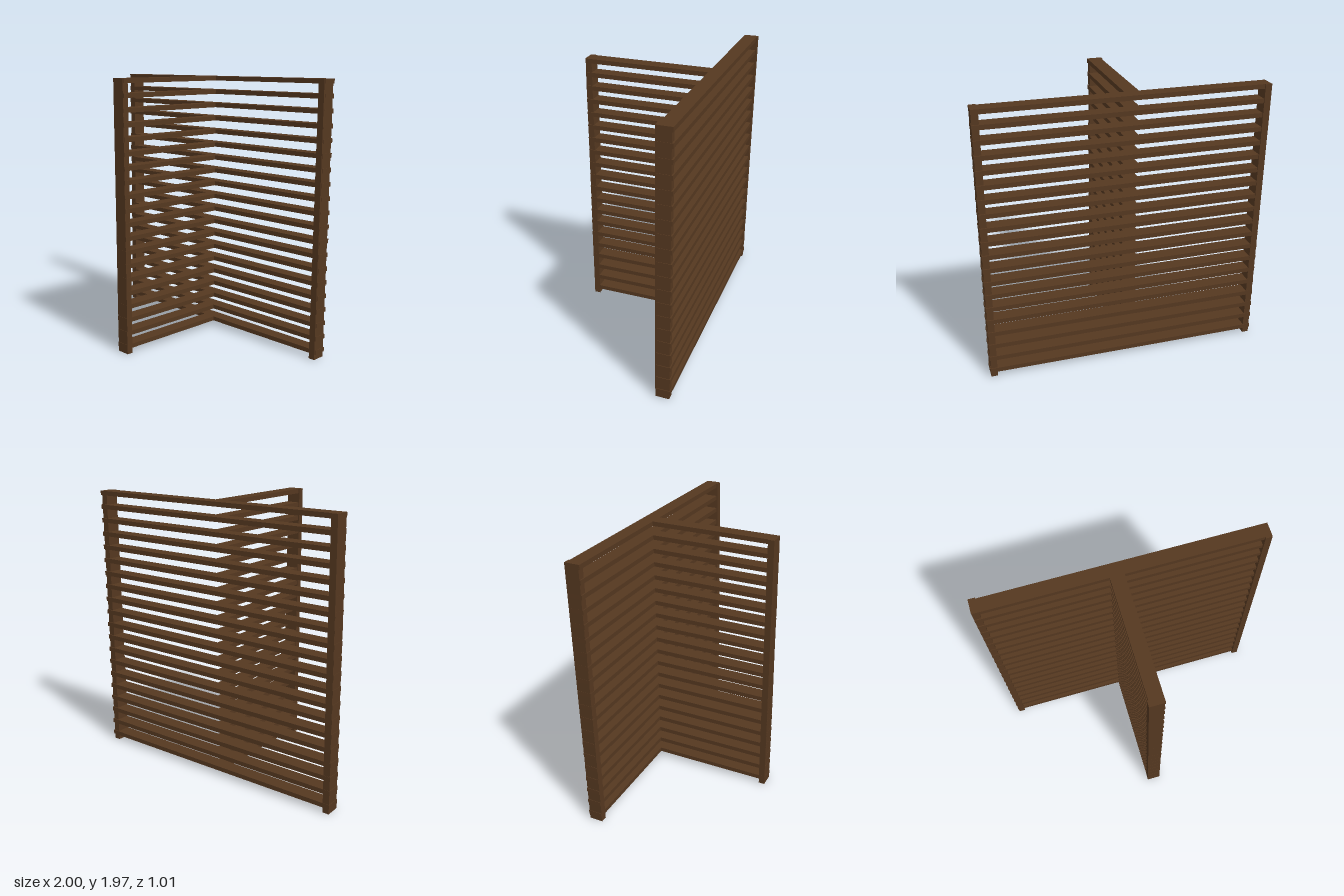
import * as THREE from 'three';

const HEIGHT = 1.97;
const wood = new THREE.MeshStandardMaterial({ color: 0x553820 });

function addBox(parent, name, size, position) {
  const mesh = new THREE.Mesh(new THREE.BoxGeometry(...size), wood);
  mesh.name = name;
  mesh.position.set(...position);
  parent.add(mesh);
  return mesh;
}

// Upright post whose top is shifted slightly, so it leans
function addPost(parent, name, width, depth, x, z, leanX, leanZ) {
  const post = addBox(parent, name, [width, HEIGHT, depth], [x, HEIGHT / 2, z]);
  const pos = post.geometry.attributes.position;
  for (let i = 0; i < pos.count; i++) {
    if (pos.getY(i) > 0) {
      pos.setX(i, pos.getX(i) + leanX);
      pos.setZ(i, pos.getZ(i) + leanZ);
    }
  }
  post.geometry.computeVertexNormals();
}

export function createModel() {
  const model = new THREE.Group();
  model.name = 'slattedScreen';

  // Horizontal slats: wide back panel and the wing running forward from it
  const backPanel = new THREE.Group();
  backPanel.name = 'backPanel';
  const wingPanel = new THREE.Group();
  wingPanel.name = 'wingPanel';
  for (let i = 0; i < 20; i++) {
    const y = 0.054 + i * 0.1;
    addBox(backPanel, 'backSlat', [2, 0.032, 0.1], [0, y, -0.45]);
    addBox(wingPanel, 'wingSlat', [0.1, 0.032, 0.9], [-0.05, y, 0.05]);
  }

  // End posts
  addPost(backPanel, 'rightPost', 0.047, 0.1, -0.972, -0.447, -0.005, -0.011);
  addPost(backPanel, 'leftPost', 0.047, 0.1, 0.972, -0.443, 0.002, 0.004);
  addPost(wingPanel, 'frontPost', 0.1, 0.045, -0.049, 0.475, -0.009, 0.005);

  model.add(backPanel, wingPanel);
  return model;
}
